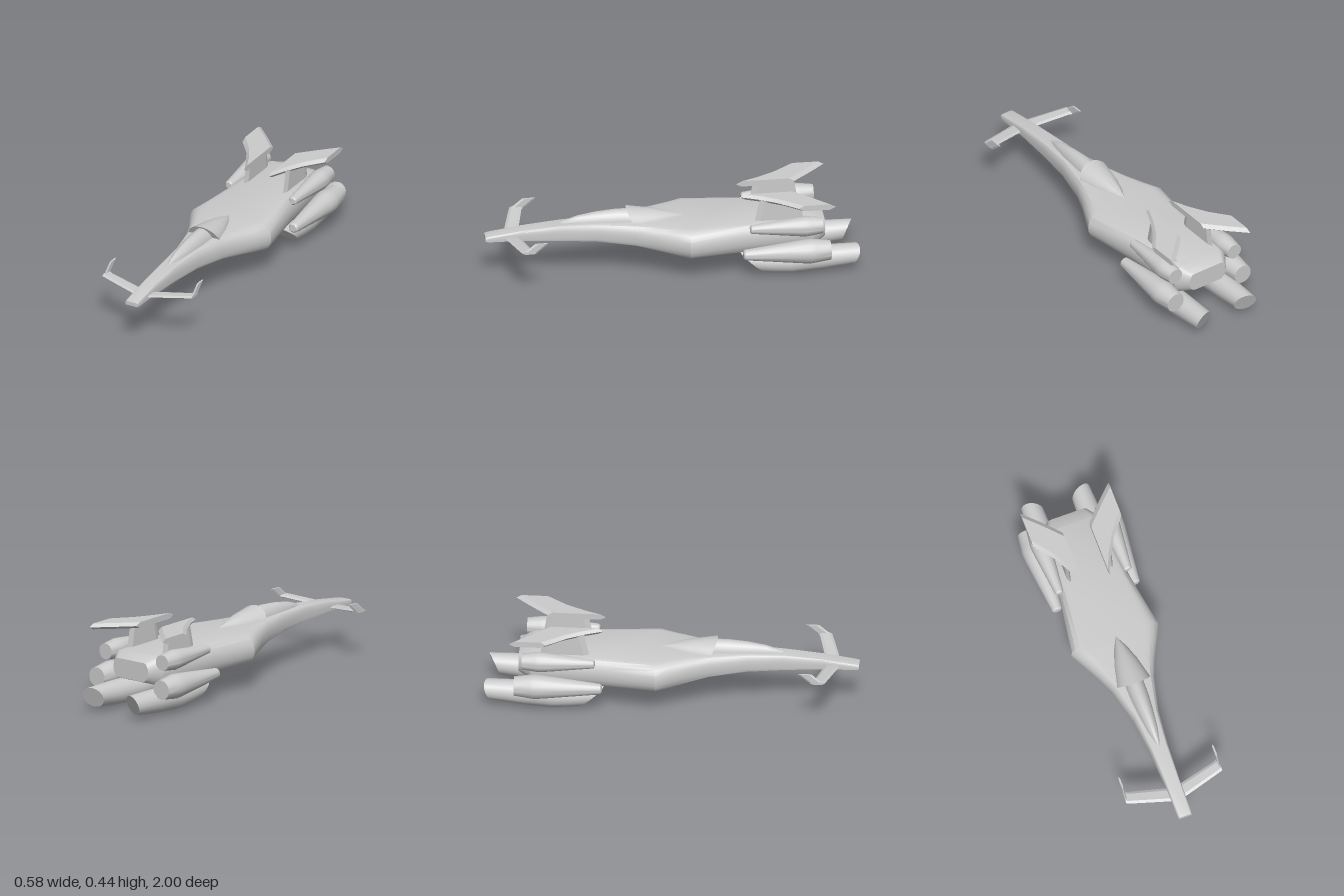
import * as THREE from 'three';
import { toCreasedNormals } from 'three/addons/utils/BufferGeometryUtils.js';

const material = new THREE.MeshStandardMaterial({ color: 0xcccccc });

function addMesh(parent, name, geometry, crease = 0.6) {
  const mesh = new THREE.Mesh(toCreasedNormals(geometry, crease), material);
  mesh.name = name;
  parent.add(mesh);
  return mesh;
}

// Closed, capped skin over equal-length rings of [x, y, z]; always wound outward
function loft(rings) {
  const n = rings[0].length, last = rings.length - 1;
  const mean = (r) => [0, 1, 2].map((k) => r.reduce((s, p) => s + p[k], 0) / n);
  const pts = [...rings.flat(), mean(rings[0]), mean(rings[last])];
  const startCentre = n * rings.length;
  let tris = [];
  for (let j = 0; j < n; j++) {
    const k = (j + 1) % n;
    for (let i = 0; i < last; i++) {
      const a = i * n + j, b = i * n + k;
      tris.push([a, b, b + n], [a, b + n, a + n]);
    }
    tris.push([startCentre, k, j], [startCentre + 1, last * n + j, last * n + k]);
  }
  const v = pts.map((p) => new THREE.Vector3(...p));
  const volume = tris.reduce((s, [a, b, c]) => s + v[a].dot(v[b].clone().cross(v[c])), 0);
  if (volume < 0) tris = tris.map(([a, b, c]) => [a, c, b]);
  const geometry = new THREE.BufferGeometry().setFromPoints(v);
  geometry.setIndex(tris.flat());
  return geometry;
}

// Six-sided aerofoil section, thick along y, or along x when upright
function foil(x, y, rear, front, t, upright = false) {
  const e = Math.min(0.03, (front - rear) * 0.2);
  const chord = [[t, rear + e], [t, front - e], [0, front], [-t, front - e], [-t, rear + e], [0, rear]];
  return chord.map(([d, z]) => (upright ? [x + d, y, z] : [x, y + d, z]));
}

// Fuselage section: flat top and bottom joined by rounded sides
function hullRing([z, halfWidth, top, bottom, flatTop, flatBottom]) {
  const mid = (top + bottom) / 2, half = [];
  for (let i = 0; i <= 8; i++) {
    const a = (i / 8) * Math.PI;
    const flat = i < 4 ? flatTop : flatBottom;
    half.push([flat + (halfWidth - flat) * Math.sin(a), mid + (top - mid) * Math.cos(a), z]);
  }
  return [...half, ...half.slice().reverse().map(([x, y]) => [-x, y, z])];
}

// Half-elliptical dome section; lean slides the crown forward
function domeRing([z, halfWidth, top], base, lean = 0) {
  const ring = [];
  for (let i = 0; i <= 14; i++) {
    const a = (i / 14) * Math.PI, h = Math.sin(a);
    ring.push([halfWidth * Math.cos(a), base + (top - base) * h, z + lean * h]);
  }
  return ring;
}

// Round pod section, slanted by slopes in x and y
function podRing([x, y, z, r, slopeX, slopeY], side) {
  const ring = [];
  for (let i = 0; i < 18; i++) {
    const a = (i / 18) * Math.PI * 2, dx = r * Math.cos(a), dy = r * Math.sin(a);
    ring.push([side * (x + dx), y + dy, z + slopeX * dx + slopeY * dy]);
  }
  return ring;
}

// Tapered engine: narrow intake, wide rear, slightly closed nozzle
function engineGeometry(front, rear, r) {
  const len = front - rear;
  const profile = [
    [0, rear], [r * 0.79, rear], [r * 0.96, rear + len * 0.18], [r, rear + len * 0.23],
    [r * 0.95, rear + len * 0.32], [r * 0.43, front - 0.008], [r * 0.3, front], [0, front],
  ].map(([x, y]) => new THREE.Vector2(x, y));
  return new THREE.LatheGeometry(profile, 18).rotateX(Math.PI / 2);
}

export function createModel() {
  const model = new THREE.Group();
  model.name = 'spacecraft';

  // Fuselage: z, half width, top, bottom, flat top, flat bottom
  const hull = [
    [-0.82, 0.12, 0.285, 0.18, 0.09, 0.08],
    [-0.75, 0.17, 0.312, 0.155, 0.12, 0.14],
    [-0.38, 0.2, 0.313, 0.15, 0.15, 0.16],
    [-0.08, 0.25, 0.313, 0.152, 0.17, 0.2],
    [0, 0.21, 0.313, 0.163, 0.14, 0.17],
    [0.1, 0.16, 0.313, 0.178, 0.11, 0.135],
    [0.2, 0.12, 0.313, 0.195, 0.085, 0.105],
    [0.4, 0.072, 0.312, 0.214, 0.05, 0.066],
    [0.6, 0.052, 0.307, 0.225, 0.038, 0.05],
    [0.8, 0.042, 0.29, 0.233, 0.034, 0.041],
    [0.98, 0.04, 0.265, 0.236, 0.03, 0.04],
    [1, 0.037, 0.26, 0.238, 0.028, 0.037],
  ];
  addMesh(model, 'fuselage', loft(hull.map(hullRing)), 0.5);

  // Canopy glass and the fairing behind it
  const glass = [
    [0.2, 0.053, 0.368], [0.3, 0.051, 0.368], [0.4, 0.043, 0.36],
    [0.5, 0.03, 0.344], [0.56, 0.017, 0.325], [0.6, 0.003, 0.306],
  ];
  addMesh(model, 'canopy', loft(glass.map((s) => domeRing(s, 0.295))));
  const fairing = [
    [-0.07, 0.004, 0.314], [0, 0.04, 0.34], [0.08, 0.068, 0.358], [0.16, 0.086, 0.37], [0.2, 0.096, 0.377],
  ];
  addMesh(model, 'canopyFairing', loft(fairing.map((s, i) => domeRing(s, 0.295, i * 0.01))));

  for (const side of [1, -1]) {
    const label = side > 0 ? 'left' : 'right';

    // Engines, two on each flank
    addMesh(model, label + 'UpperEngine', engineGeometry(-0.405, -0.795, 0.055))
      .position.set(side * 0.195, 0.298, 0);
    addMesh(model, label + 'LowerEngine', engineGeometry(-0.365, -0.835, 0.067))
      .position.set(side * 0.222, 0.161, 0);

    // Belly pod with slanted ends
    const pod = [
      [0.138, 0.09, -0.97, 0.057, -0.35, -0.4],
      [0.142, 0.081, -0.8, 0.066, 0, 0],
      [0.142, 0.073, -0.62, 0.069, 0, 0.4],
      [0.14, 0.076, -0.52, 0.068, 0, 0.8],
      [0.139, 0.08, -0.43, 0.065, 0, 1.15],
    ];
    addMesh(model, label + 'BellyPod', loft(pod.map((s) => podRing(s, side))));

    // Tail wing on its pylon
    addMesh(model, label + 'TailPylon', loft([
      foil(side * 0.12, 0.29, -0.705, -0.435, 0.011, true),
      foil(side * 0.12, 0.435, -0.68, -0.467, 0.011, true),
    ]), 0.3);
    addMesh(model, label + 'TailWing', loft([
      foil(side * 0.076, 0.434, -0.68, -0.365, 0.016),
      foil(side * 0.115, 0.434, -0.722, -0.455, 0.016),
      foil(side * 0.17, 0.434, -0.78, -0.555, 0.016),
      foil(side * 0.252, 0.434, -0.86, -0.66, 0.016),
    ]), 0.3);

    // Nose canard with upturned winglet
    addMesh(model, label + 'Canard', loft([
      foil(side * 0.02, 0.25, 0.82, 0.9, 0.006),
      foil(side * 0.245, 0.273, 0.77, 0.84, 0.007),
      foil(side * 0.273, 0.276, 0.755, 0.832, 0.007),
    ]), 0.3);
    addMesh(model, label + 'Winglet', loft([
      foil(side * 0.267, 0.272, 0.755, 0.83, 0.005, true),
      foil(side * 0.267, 0.327, 0.69, 0.765, 0.005, true),
    ]), 0.3);
  }
  return model;
}
